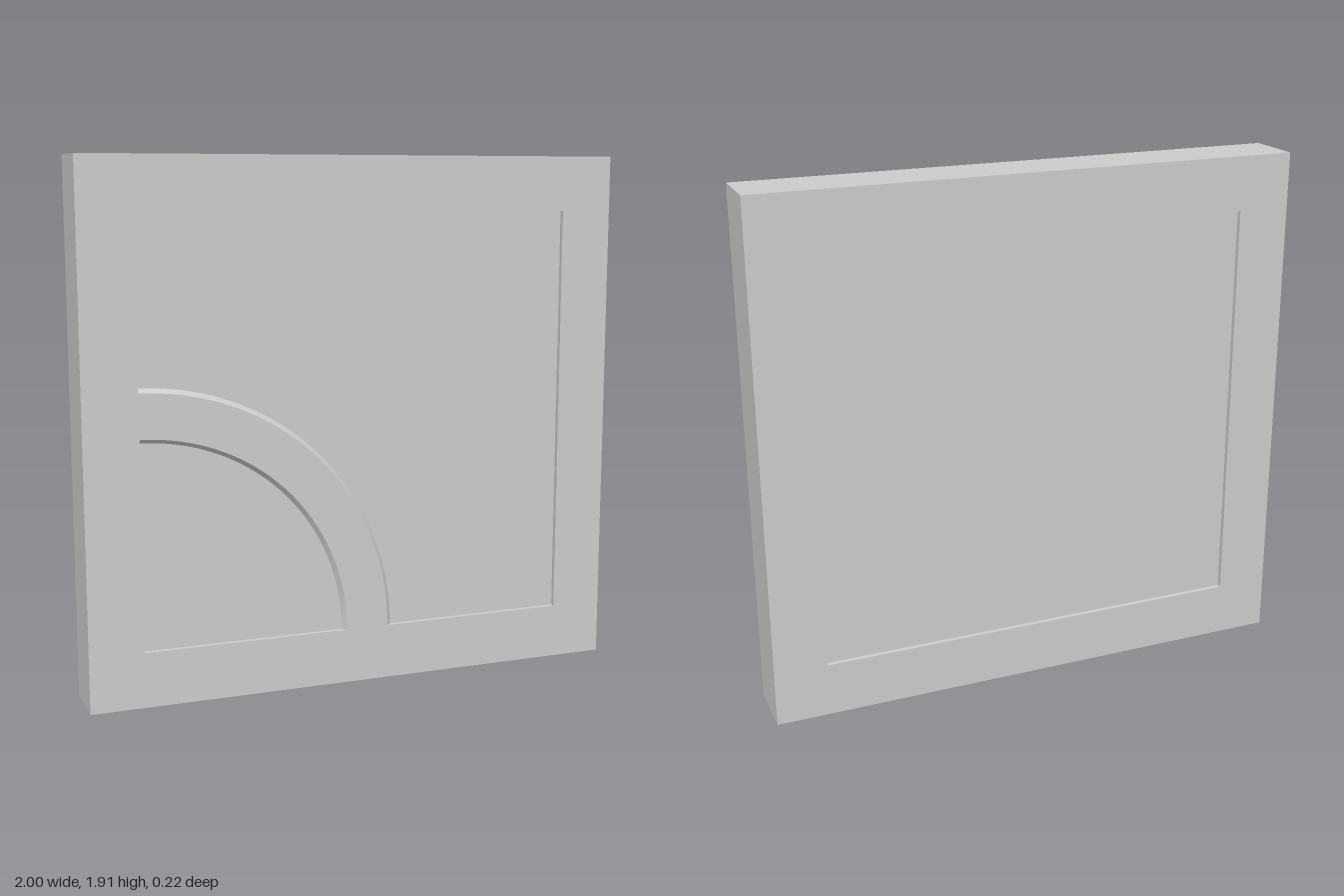
import * as THREE from 'three';
import { toCreasedNormals } from 'three/addons/utils/BufferGeometryUtils.js';

const WIDTH = 2, HEIGHT = 1.915, DEPTH = 0.22;
const BORDER_X = 0.195, BORDER_Y = 0.2, RECESS = 0.018;

export function createModel() {
  const group = new THREE.Group();
  const material = new THREE.MeshStandardMaterial({ color: 0xcccccc });
  const add = (name, geometry, x, y, z) => {
    const mesh = new THREE.Mesh(geometry, material);
    mesh.name = name;
    mesh.position.set(x, y, z);
    group.add(mesh);
  };
  const rectangle = (path, x, y, w, h) =>
    path.moveTo(x, y).lineTo(x + w, y).lineTo(x + w, y + h).lineTo(x, y + h).closePath();

  // Square-edged frame around one rectangular opening
  const openW = WIDTH - 2 * BORDER_X, openH = HEIGHT - 2 * BORDER_Y;
  const outline = rectangle(new THREE.Shape(), -WIDTH / 2, 0, WIDTH, HEIGHT);
  outline.holes.push(rectangle(new THREE.Path(), -openW / 2, BORDER_Y, openW, openH));
  add('frame', new THREE.ExtrudeGeometry(outline, { depth: DEPTH, bevelEnabled: false }), 0, 0, -DEPTH / 2);

  // Panel set back a little on both faces
  add('panel', new THREE.BoxGeometry(openW, openH, DEPTH - 2 * RECESS), 0, HEIGHT / 2, 0);

  // Quarter-circle moulding with sloping sides, flush with the frame front
  const profile = [[0.93, 0], [0.915, RECESS], [0.755, RECESS], [0.74, 0]]
    .map(([r, h]) => new THREE.Vector2(r, h));
  const arc = new THREE.LatheGeometry(profile, 48, Math.PI / 2, Math.PI / 2);
  arc.rotateX(Math.PI / 2);
  add('quarterArcMoulding', toCreasedNormals(arc, 0.4), -openW / 2, BORDER_Y, DEPTH / 2 - RECESS);

  return group;
}
